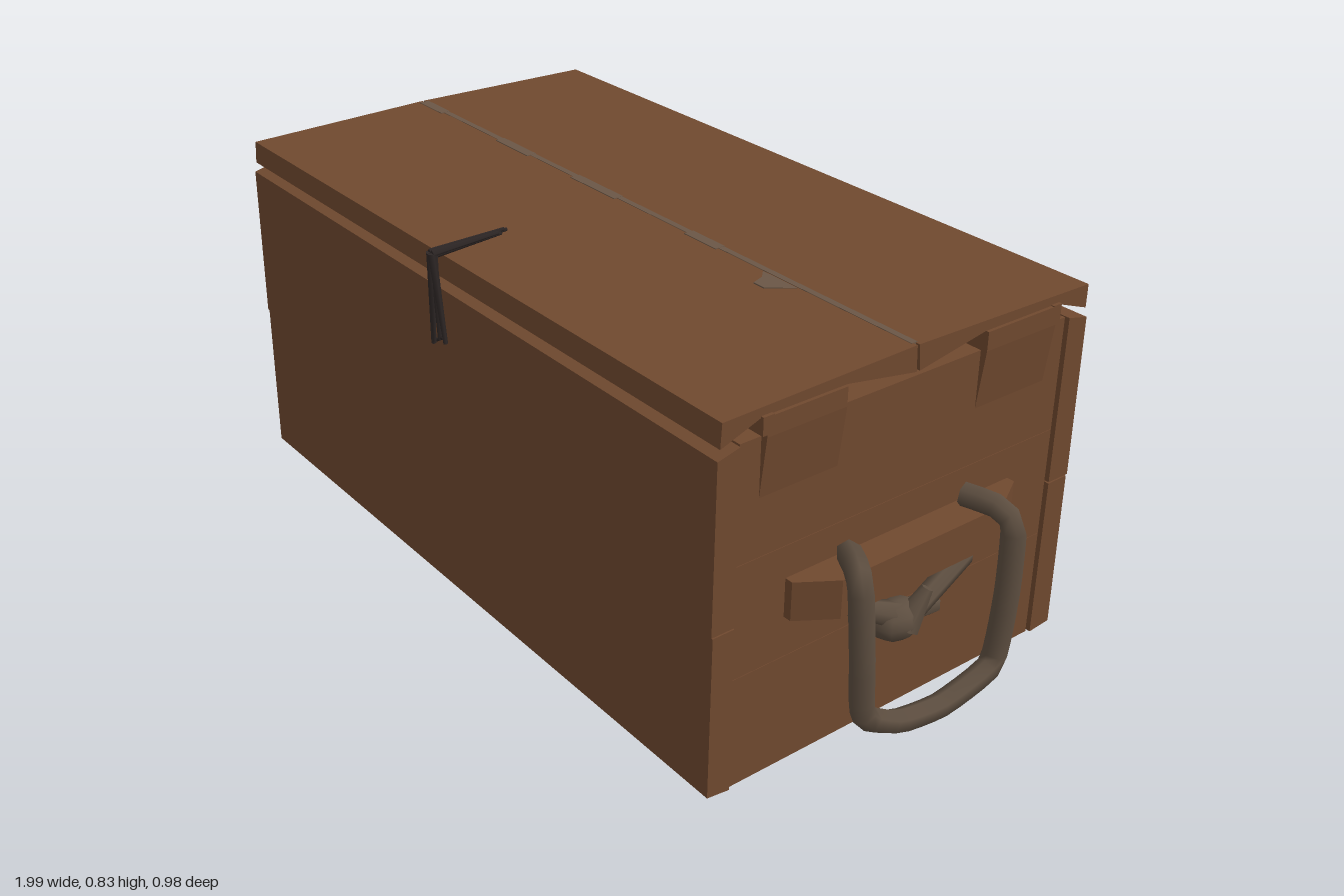
import * as THREE from 'three';

const mat = (name, color, side = THREE.FrontSide) => {
  const m = new THREE.MeshStandardMaterial({ color, side });
  m.name = name;
  return m;
};

export function createModel() {
  const wood = mat('brown wood', 0x70492f);
  const worn = mat('worn grey wood', 0x6a5646);
  const rope = mat('weathered rope', 0x5d4e40, THREE.DoubleSide);
  const dark = mat('dark leather', 0x2e2726, THREE.DoubleSide);
  const root = new THREE.Group();
  root.name = 'chest';

  const add = (name, geo, material, parent = root) => {
    const mesh = new THREE.Mesh(geo, material);
    mesh.name = name;
    parent.add(mesh);
    return mesh;
  };
  const box = (name, x0, x1, y0, y1, z0, z1, material = wood, parent = root) => {
    const g = new THREE.BoxGeometry(Math.abs(x1 - x0), y1 - y0, z1 - z0);
    return add(name, g.translate((x0 + x1) / 2, (y0 + y1) / 2, (z0 + z1) / 2), material, parent);
  };
  const shapeOf = (pts) => new THREE.Shape(pts.map(([a, b]) => new THREE.Vector2(a, b)));
  const extrude = (pts, depth) =>
    new THREE.ExtrudeGeometry(shapeOf(pts), { depth, bevelEnabled: false });
  // A long board from a (z, y) outline, running from side to side
  const board = (name, pts, half) =>
    add(name, extrude(pts.map(([z, y]) => [-z, y]), half * 2).rotateY(Math.PI / 2).translate(-half, 0, 0), wood);
  // A straight tapering strand between two points
  const strand = (name, a, b, r0, r1, material, parent, sides = 6) => {
    const p = new THREE.Vector3(...a), q = new THREE.Vector3(...b), d = q.clone().sub(p);
    const m = add(name, new THREE.CylinderGeometry(r1, r0, d.length(), sides), material, parent);
    m.position.copy(p).add(q).multiplyScalar(0.5);
    m.quaternion.setFromUnitVectors(new THREE.Vector3(0, 1, 0), d.normalize());
    return m;
  };

  // Front and back walls, two planks each
  board('frontLowerPlank', [[0.403, 0.005], [0.456, 0.012], [0.453, 0.37], [0.403, 0.37]], 0.85);
  board('frontUpperPlank', [[0.403, 0.373], [0.456, 0.373], [0.453, 0.73], [0.403, 0.742]], 0.85);
  board('backLowerPlank', [[-0.43, 0.005], [-0.486, 0.01], [-0.483, 0.37], [-0.43, 0.37]], 0.85);
  board('backUpperPlank', [[-0.43, 0.373], [-0.486, 0.373], [-0.482, 0.73], [-0.43, 0.742]], 0.85);

  // Recessed floor
  box('floor', -0.8, 0.8, 0.02, 0.06, -0.425, 0.398);

  // Two lid boards, warped on their undersides
  board('lidFrontBoard', [[0.448, 0.752], [0.445, 0.802], [-0.009, 0.81], [-0.012, 0.755],
    [0.16, 0.785], [0.355, 0.785]], 0.85);
  board('lidBackBoard', [[-0.475, 0.752], [-0.475, 0.802], [-0.014, 0.81], [-0.02, 0.755],
    [-0.19, 0.785], [-0.385, 0.785]], 0.85);

  // Worn wood along the lid seam
  box('wornSeam', -0.84, 0.84, 0.803, 0.811, -0.018, -0.004, worn);
  const patch = [[0.44, 0.0], [0.54, 0.0], [0.52, 0.025], [0.5, 0.05], [0.47, 0.05], [0.46, 0.02]];
  add('wornPatch', extrude(patch.map(([x, z]) => [x, -z]), 0.003).rotateX(-Math.PI / 2).translate(0, 0.8085, 0), worn);
  [-0.84, -0.5, -0.2, 0.2].forEach((x, i) =>
    box('wornChip', x, x + 0.1 + 0.03 * (i % 3), 0.806, 0.8115, -0.02, 0.004, worn));

  for (const s of [1, -1]) {
    const end = new THREE.Group();
    end.name = s > 0 ? 'leftEnd' : 'rightEnd';
    root.add(end);

    // End wall of three planks
    [[0.003, 0.249], [0.25, 0.494], [0.495, 0.742]].forEach(([y0, y1]) =>
      box('endPlank', s * 0.79, s * 0.842, y0, y1, -0.426, 0.398, wood, end));

    // Tapered lid battens reaching down the end wall
    [[0.165, 0.35], [-0.38, -0.19]].forEach(([z0, z1]) => {
      const outline = [[0.838, 0.585], [0.857, 0.745], [0.857, 0.785], [0.79, 0.785], [0.79, 0.585]];
      add('lidBatten', extrude(outline.map(([x, y]) => [s * x, y]), z1 - z0).translate(0, 0, z0), wood, end);
    });
    box('battenLip', s * 0.8, s * 0.857, 0.75, 0.787, 0.335, 0.36, wood, end);
    box('battenLip', s * 0.8, s * 0.857, 0.75, 0.787, -0.392, -0.37, wood, end);

    // Handle cleat with slanted ends
    const cleat = [[0.84, 0.278], [0.86, 0.278], [0.91, 0.2], [0.91, -0.22], [0.86, -0.308], [0.84, -0.308]];
    add('handleCleat', extrude(cleat.map(([x, z]) => [s * x, -z]), 0.084)
      .rotateX(-Math.PI / 2).translate(0, 0.34, 0), wood, end);

    // Hanging rope loop
    const path = [[0.86, 0.435, 0.14], [0.92, 0.45, 0.18], [0.96, 0.435, 0.205], [0.972, 0.28, 0.2],
      [0.97, 0.15, 0.185], [0.967, 0.09, 0.09], [0.967, 0.073, -0.03], [0.969, 0.11, -0.165],
      [0.972, 0.27, -0.185], [0.965, 0.42, -0.19], [0.925, 0.448, -0.18], [0.86, 0.45, -0.16]]
      .map(([x, y, z]) => new THREE.Vector3(s * x, y, z));
    const curve = new THREE.CatmullRomCurve3(path, false, 'catmullrom', 0.25);
    add('handleRope', new THREE.TubeGeometry(curve, 36, 0.025, 6), rope, end);

    // Knot under the cleat, with its loose strands
    strand('knotStrand', [s * 0.87, 0.325, 0.15], [s * 0.9, 0.27, 0.03], 0.018, 0.03, rope, end);
    strand('knotStrand', [s * 0.87, 0.315, -0.17], [s * 0.9, 0.27, -0.01], 0.022, 0.022, rope, end);
    strand('knotTail', [s * 0.89, 0.265, 0.0], [s * 0.87, 0.23, -0.09], 0.026, 0.02, rope, end);
    strand('knotTail', [s * 0.91, 0.25, 0.03], [s * 0.92, 0.325, -0.015], 0.03, 0.012, rope, end);
    const knot = add('knot', new THREE.SphereGeometry(0.05, 8, 6), rope, end);
    knot.position.set(s * 0.895, 0.262, 0.035);
    knot.scale.set(0.85, 0.85, 1.2);
  }

  // Frayed latch strap, bent over the front edge of the lid
  const latch = new THREE.Group();
  latch.name = 'latch';
  root.add(latch);
  [[-0.03, 0.61, 0.472], [-0.016, 0.62, 0.478], [0.0, 0.63, 0.474], [0.014, 0.625, 0.47]].forEach(([x, y, z], i) => {
    const t = (i - 1.5) * 0.005;
    const bend = [t - 0.008, 0.815 + (i % 2) * 0.006, 0.476 + (i % 2) * 0.006];
    strand('latchTop', [t, 0.826 + (i % 2) * 0.005, 0.3 + i * 0.01], bend, 0.004, 0.008, dark, latch, 4);
    strand('latchDrop', bend, [x, y, z], 0.009, 0.005, dark, latch, 4);
  });
  strand('latchCrossFibre', [-0.03, 0.615, 0.472], [0.012, 0.64, 0.474], 0.004, 0.004, dark, latch, 4);

  return root;
}
